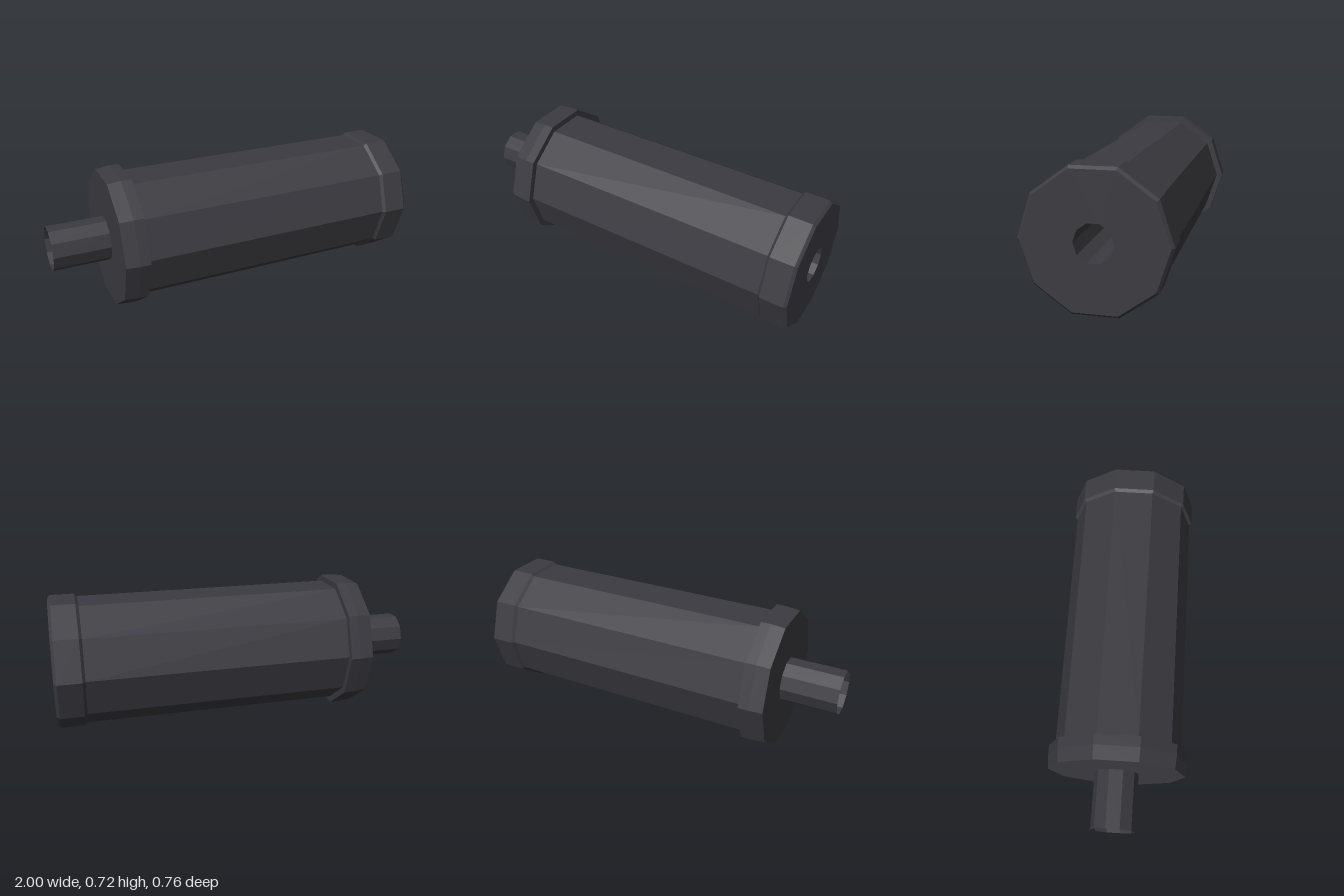
import * as THREE from 'three';

const SIDES = 10;
const AXIS_HEIGHT = 0.36;

export function createModel() {
  const group = new THREE.Group();
  group.name = 'threadedCylinder';

  const darkMetal = new THREE.MeshStandardMaterial({ color: 0x3c3b41, flatShading: true });
  darkMetal.name = 'darkMetal';
  darkMetal.side = THREE.DoubleSide;

  // Turns a profile of [x, radius] pairs around the long axis
  function turned(name, profile) {
    const points = profile.map(([x, r]) => new THREE.Vector2(r, x));
    const geometry = new THREE.LatheGeometry(points, SIDES);
    geometry.rotateZ(-Math.PI / 2);
    const mesh = new THREE.Mesh(geometry, darkMetal);
    mesh.name = name;
    mesh.position.y = AXIS_HEIGHT;
    group.add(mesh);
  }

  // Thin open tube at the rear
  turned('rearTube', [[-1, 0.119], [-0.695, 0.119]]);

  // Wide rear collar, slightly tapered toward the back
  turned('rearCollar', [
    [-0.698, 0], [-0.698, 0.37], [-0.625, 0.378], [-0.57, 0.378], [-0.57, 0.34],
  ]);

  // Long main barrel
  turned('barrel', [[-0.572, 0.344], [0.85, 0.344]]);

  // Bevelled front cap with a sunken bore
  turned('frontCap', [
    [0.845, 0.344], [0.86, 0.358], [0.985, 0.358], [1, 0.344],
    [1, 0.095], [0.4, 0.095], [0.4, 0],
  ]);

  return group;
}
